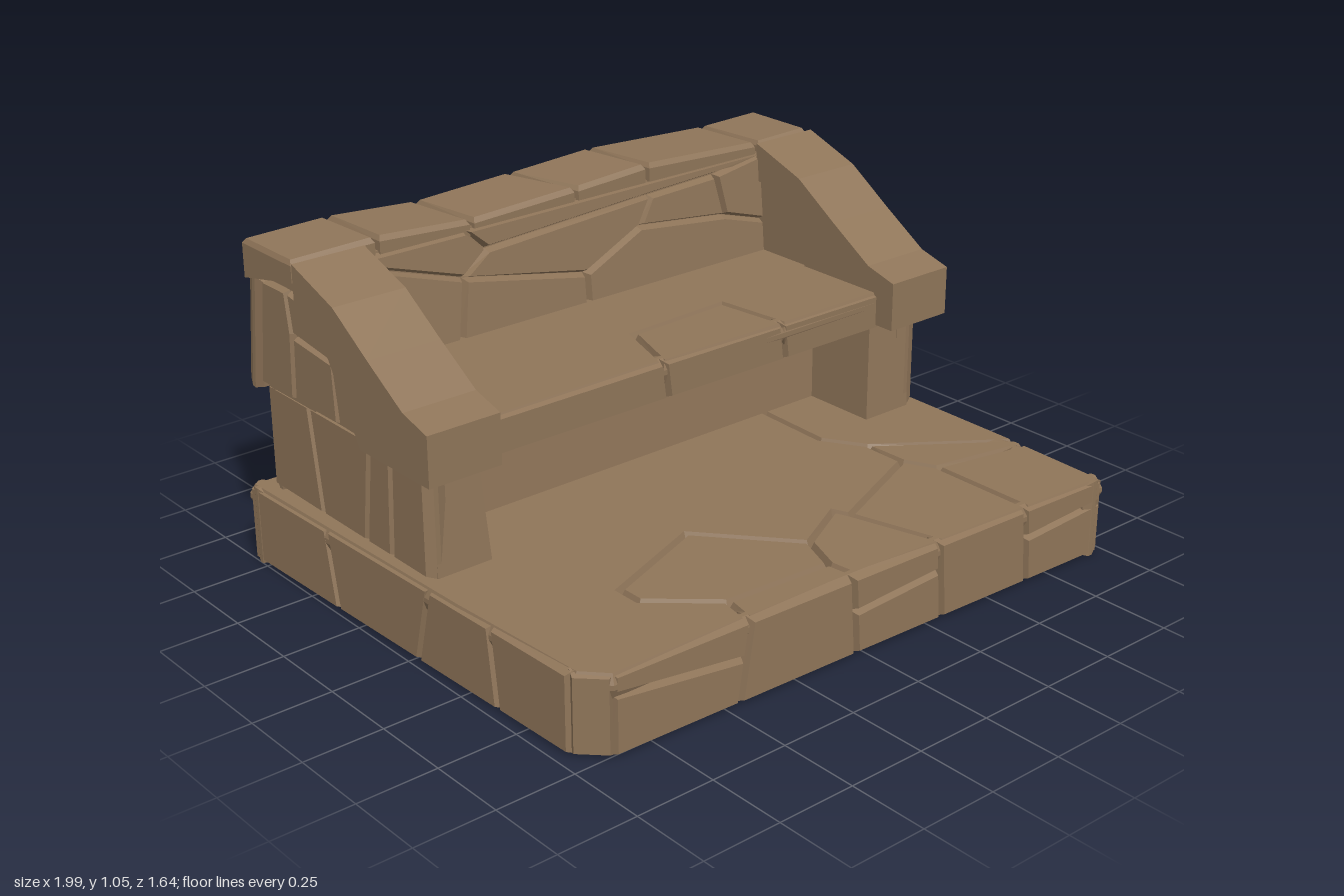
import * as THREE from 'three';
import { ConvexGeometry } from 'three/addons/geometries/ConvexGeometry.js';

const stone = new THREE.MeshStandardMaterial({ color: 0x8f7559, flatShading: true });
stone.name = 'brown stone';
const V = (x, y, z) => new THREE.Vector3(x, y, z);
const GAP = 0.012, GROOVE = 0.03;

export function createModel() {
  const root = new THREE.Group();
  root.name = 'stoneBench';

  const add = (name, geometry, parent = root) => {
    const mesh = new THREE.Mesh(geometry, stone);
    mesh.name = name;
    parent.add(mesh);
    return mesh;
  };
  const box = (name, x0, x1, y0, y1, z0, z1) =>
    add(name, new THREE.BoxGeometry(x1 - x0, y1 - y0, z1 - z0)
      .translate((x0 + x1) / 2, (y0 + y1) / 2, (z0 + z1) / 2));
  const shapeOf = pts => new THREE.Shape(pts.map(p => new THREE.Vector2(p[0], p[1])));

  // Prism from a (z, y) side profile, running from x0 to x1
  const profile = (name, pts, x0, x1) => {
    const g = new THREE.ExtrudeGeometry(shapeOf(pts), { depth: x1 - x0, bevelEnabled: false });
    const m = new THREE.Matrix4().makeBasis(V(0, 0, 1), V(0, 1, 0), V(-1, 0, 0));
    return add(name, g.applyMatrix4(m.setPosition(x1, 0, 0)));
  };

  // Flat paving of chamfered stones; neighbours share corners, so chamfers form cracks
  const paving = (name, polys, origin, u, v) => {
    const group = new THREE.Group();
    group.name = name;
    root.add(group);
    const n = u.clone().cross(v).normalize();
    const m = new THREE.Matrix4().makeBasis(u, v, n).setPosition(origin);
    for (const pts of polys) {
      const g = new THREE.ExtrudeGeometry(shapeOf(pts), {
        depth: 0.015, bevelEnabled: true, bevelSegments: 1,
        bevelThickness: GROOVE, bevelSize: GAP, bevelOffset: -GAP,
      }).translate(0, 0, -0.015 - GROOVE);
      add('stone', g.applyMatrix4(m), group);
    }
  };

  // Upright course of stones from p to q (x, z); joints are [bottom, top] fractions,
  // splits give a slanted horizontal crack for some stones
  const wall = (name, p, q, y0, y1, joints, splits = {}, lean = 0) => {
    const a = V(p[0], y0, p[1]), b = V(q[0], y0, q[1]);
    const len = a.distanceTo(b), u = b.sub(a).normalize();
    const inward = V(0, 1, 0).cross(u);
    const v = V(0, y1 - y0, 0).addScaledVector(inward, lean);
    const h = v.length();
    v.normalize();
    const edges = [[0, 0], ...joints, [1, 1]];
    const at = (e, t) => [(e[0] + (e[1] - e[0]) * t) * len, t * h];
    const polys = [];
    for (let i = 0; i < edges.length - 1; i++) {
      const l = edges[i], r = edges[i + 1], s = splits[i];
      if (s) {
        polys.push([at(l, 0), at(r, 0), at(r, s[1]), at(l, s[0])]);
        polys.push([at(l, s[0]), at(r, s[1]), at(r, 1), at(l, 1)]);
      } else polys.push([at(l, 0), at(r, 0), at(r, 1), at(l, 1)]);
    }
    paving(name, polys, a, u, v);
  };

  // Base slab core, with paving on top and facing stones around it
  const plan = [[-0.965, 0.785], [0.955, 0.785], [0.94, -0.785], [-0.86, -0.73], [-0.935, -0.67]];
  add('baseCore', new THREE.ExtrudeGeometry(shapeOf(plan), { depth: 0.22, bevelEnabled: false })
    .rotateX(-Math.PI / 2));
  const terrace = [
    [[-1, -0.82], [0.55, -0.82], [0.52, 0.06], [0.6, 0.19], [0.6, 0.34], [0.22, 0.5], [0.2, 0.45],
      [0.01, 0.55], [-0.22, 0.28], [-0.58, 0.42], [-0.58, 0.5], [-0.4, 0.66], [-0.42, 0.765],
      [-0.88, 0.765], [-0.95, 0.69], [-0.975, 0.2]],
    [[-0.58, 0.42], [-0.22, 0.28], [0.01, 0.55], [-0.04, 0.68], [-0.4, 0.66], [-0.58, 0.5]],
    [[-0.42, 0.765], [-0.4, 0.66], [-0.04, 0.68], [-0.03, 0.77]],
    [[-0.04, 0.68], [0.01, 0.55], [0.2, 0.45], [0.22, 0.5], [0.3, 0.79], [-0.03, 0.77]],
    [[0.22, 0.5], [0.6, 0.34], [0.65, 0.44], [0.65, 0.805], [0.3, 0.79]],
    [[0.65, 0.44], [0.98, 0.5], [0.97, 0.82], [0.65, 0.805]],
    [[0.6, 0.19], [0.98, 0.46], [0.98, 0.5], [0.65, 0.44], [0.6, 0.34]],
    [[0.55, -0.82], [0.99, -0.82], [0.98, 0.46], [0.6, 0.19], [0.52, 0.06]],
  ].map(poly => poly.map(([x, z]) => [x, -z]));
  paving('terracePaving', terrace, V(0, 0.25, 0), V(1, 0, 0), V(0, 0, -1));
  wall('baseFront', [-0.88, 0.765], [0.97, 0.82], 0, 0.25,
    [[0.23, 0.25], [0.46, 0.45], [0.64, 0.63], [0.83, 0.82]], { 0: [0.75, 0.55], 2: [0.55, 0.65], 4: [0.6, 0.7] });
  wall('baseCorner', [-0.965, 0.68], [-0.88, 0.765], 0, 0.25, []);
  wall('baseLeftSide', [0.975, 0.82], [0.99, -0.82], 0, 0.25,
    [[0.215, 0.2], [0.42, 0.465], [0.71, 0.74]], { 1: [0.75, 0.7] });
  wall('baseRightSide', [-1, -0.82], [-0.965, 0.68], 0, 0.25, [[0.3, 0.27], [0.56, 0.6], [0.8, 0.78]]);
  wall('baseBack', [0.99, -0.82], [-1, -0.82], 0, 0.25,
    [[0.19, 0.21], [0.46, 0.44], [0.62, 0.63], [0.81, 0.79]], { 1: [0.6, 0.7] });

  // Middle course: solid rear, two legs and the recess between them
  profile('middleCore', [[-0.2, 0.2], [-0.23, 0.6], [-0.735, 0.6], [-0.735, 0.2]], -0.91, 0.91);
  for (const s of [-1, 1]) {
    const pts = [];
    for (const [z, y, inner] of [[0.05, 0.22, 0.735], [0.025, 0.6, 0.76], [-0.3, 0.22, 0.735], [-0.3, 0.6, 0.76]])
      for (const x of [inner, 0.92]) pts.push(V(s * x, y, z));
    add(s > 0 ? 'leftLeg' : 'rightLeg', new ConvexGeometry(pts));
  }
  const legJoints = [[0.22, 0.2], [0.38, 0.33], [0.66, 0.72]];
  const flip = list => list.map(([a, b]) => [1 - a, 1 - b]).reverse();
  wall('middleLeftSide', [0.95, 0.045], [0.945, -0.765], 0.25, 0.585, legJoints, { 1: [0.4, 0.7] });
  wall('middleRightSide', [-0.945, -0.765], [-0.95, 0.045], 0.25, 0.585, flip(legJoints));
  wall('middleBack', [0.945, -0.765], [-0.945, -0.765], 0.25, 0.585,
    [[0.17, 0.19], [0.36, 0.34], [0.57, 0.6], [0.78, 0.76]], { 3: [0.5, 0.6] });

  // Seat: sloping underside, paved top and a three-stone front edge
  profile('seatCore', [[0.03, 0.56], [0.03, 0.65], [-0.5, 0.65], [-0.5, 0.44], [-0.23, 0.46]], -0.77, 0.77);
  const seat = [
    [[-0.77, -0.05], [-0.11, -0.05], [-0.04, 0.17], [0.33, 0.19], [0.36, -0.06], [0.77, -0.06], [0.77, 0.5], [-0.77, 0.5]],
    [[-0.11, -0.05], [0.36, -0.06], [0.33, 0.19], [-0.04, 0.17]],
  ];
  paving('seatTop', seat, V(0, 0.68, 0), V(1, 0, 0), V(0, 0, -1));
  wall('seatFront', [-0.77, 0.055], [0.77, 0.06], 0.555, 0.68, [[0.44, 0.43], [0.74, 0.73]]);

  // Backrest wall with irregular stones on the front and two rough rows behind
  profile('backrestCore', [[-0.49, 0.58], [-0.52, 1], [-0.73, 1], [-0.74, 0.92], [-0.785, 0.58]], -0.95, 0.95);
  const backrest = [
    [[-0.77, 0.66], [-0.45, 0.66], [-0.42, 0.86], [-0.77, 0.97]],
    [[-0.45, 0.66], [0.03, 0.66], [0.03, 0.77], [-0.42, 0.86]],
    [[-0.77, 0.97], [-0.42, 0.86], [-0.33, 0.93], [-0.4, 1], [-0.77, 1]],
    [[-0.42, 0.86], [0.03, 0.77], [0.25, 0.87], [0.3, 0.96], [-0.33, 0.93]],
    [[0.03, 0.66], [0.77, 0.66], [0.77, 0.78], [0.6, 0.83], [0.25, 0.87], [0.03, 0.77]],
    [[0.25, 0.87], [0.6, 0.83], [0.57, 0.97], [0.3, 0.96]],
    [[0.6, 0.83], [0.77, 0.78], [0.77, 1], [0.57, 0.97]],
    [[-0.4, 1], [-0.33, 0.93], [0.3, 0.96], [0.57, 0.97], [0.77, 1]],
  ].map(poly => poly.map(([x, y]) => [x, y - 0.66]));
  paving('backrestFront', backrest, V(0, 0.66, -0.465), V(1, 0, 0), V(0, 1, -0.09).normalize());
  wall('backrestBack', [0.98, -0.815], [-0.98, -0.815], 0.58, 0.94,
    [[0.15, 0.13], [0.34, 0.37], [0.55, 0.52], [0.72, 0.76], [0.87, 0.86]],
    { 1: [0.5, 0.6], 2: [0.6, 0.45], 3: [0.45, 0.6], 4: [0.6, 0.55] }, 0.045);

  // Armrests: sloping coping in front, inset stones on the outer side
  const armStones = [
    [[0.2, 0.59], [0.34, 0.59], [0.35, 0.78], [0.45, 0.91], [0.35, 0.82]],
    [[0.34, 0.59], [0.57, 0.59], [0.56, 0.8], [0.35, 0.78]],
    [[0.35, 0.78], [0.56, 0.8], [0.58, 0.93], [0.45, 0.91]],
    [[0.57, 0.59], [0.815, 0.59], [0.77, 0.93], [0.58, 0.93], [0.56, 0.8]],
  ];
  const coping = [[0.13, 0.575], [0.13, 0.73], [0.02, 0.76], [-0.14, 0.86], [-0.3, 0.965], [-0.5, 1.035],
    [-0.5, 0.91], [-0.45, 0.91], [-0.35, 0.82], [-0.2, 0.575]];
  for (const s of [-1, 1]) {
    const side = s > 0 ? 'left' : 'right';
    const range = (a, b) => (s > 0 ? [a, b] : [-b, -a]);
    profile(side + 'ArmCoping', coping, ...range(0.75, 0.99));
    profile(side + 'ArmCore', [[-0.15, 0.58], [-0.3, 0.9], [-0.6, 0.95], [-0.74, 0.92], [-0.785, 0.58]], ...range(0.77, 0.945));
    paving(side + 'ArmStones', armStones.map(poly => poly.map(([a, y]) => [s * a, y])),
      V(s * 0.97, 0, 0), V(0, 0, -s), V(0, 1, 0));
  }

  // Capstones along the top: [front x, back x, top height] at each joint
  const caps = [[-0.995, -0.995, 1.04], [-0.7, -0.71, 1.045], [-0.37, -0.4, 1.025], [0.02, -0.05, 1.04],
    [0.3, 0.265, 1.055], [0.76, 0.74, 1.035], [0.985, 0.985, 1.04]];
  for (let i = 0; i < caps.length - 1; i++) {
    const pts = [];
    for (const [c, d] of [[caps[i], 0.008], [caps[i + 1], -0.008]])
      for (const [x, z, low] of [[c[0], -0.51, 0.975], [c[1], -0.77, 0.92]]) {
        const mid = z < -0.6 ? 0.012 : -0.012;
        pts.push(V(x + d, low, z), V(x + d, c[2] - 0.015, z), V(x + d * 2, c[2], z + mid));
      }
    add('capstone', new ConvexGeometry(pts));
  }
  return root;
}
